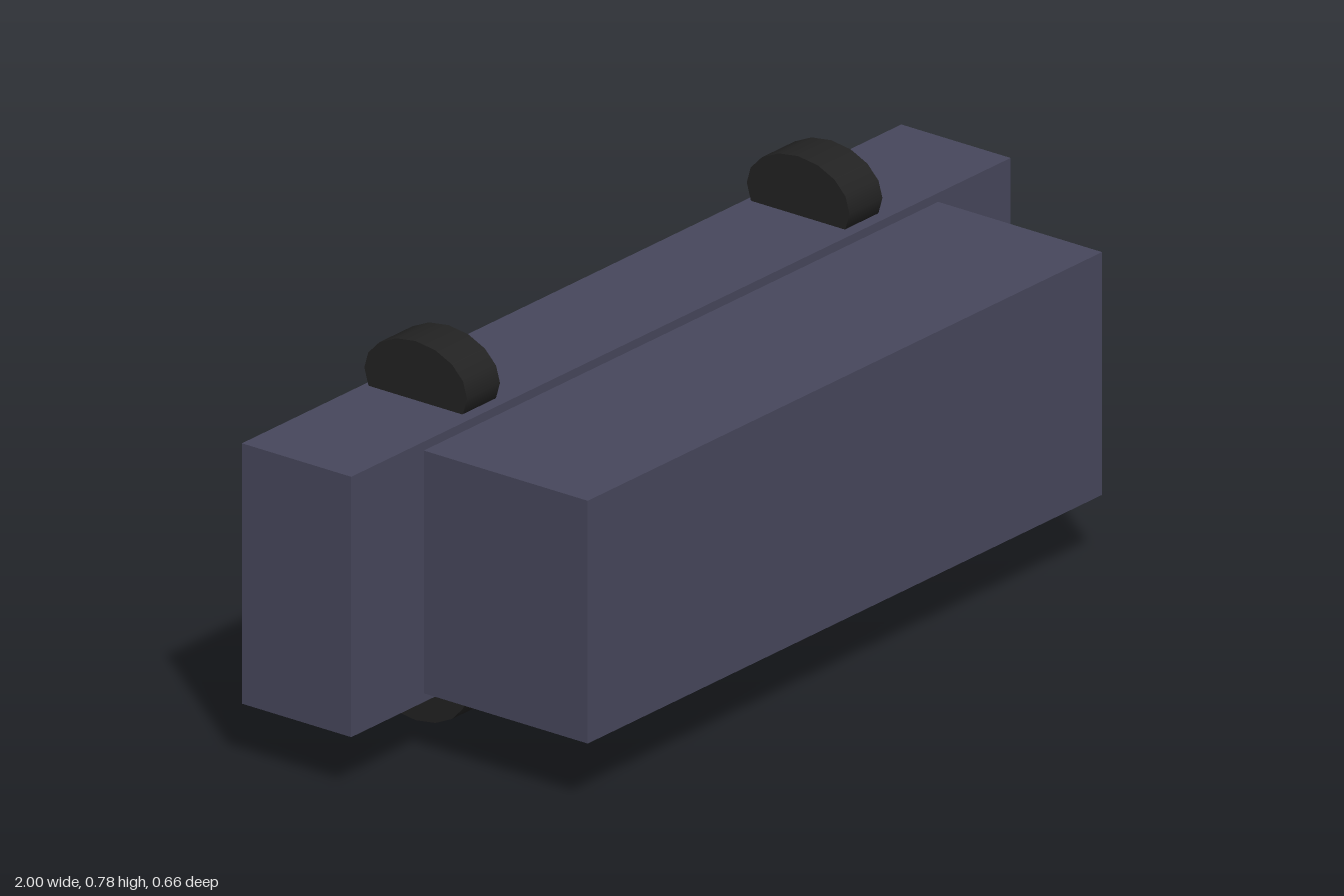
import * as THREE from 'three';

export function createModel() {
  const model = new THREE.Group();
  model.name = 'model';

  const slate = new THREE.MeshStandardMaterial({ color: 0x47475c });
  slate.name = 'slate body';
  const black = new THREE.MeshStandardMaterial({ color: 0x222222 });
  black.name = 'black rubber';

  // Box centred on x, given by its width and its y and z limits
  function addBox(name, width, y0, y1, z0, z1) {
    const mesh = new THREE.Mesh(new THREE.BoxGeometry(width, y1 - y0, z1 - z0), slate);
    mesh.position.set(0, (y0 + y1) / 2, (z0 + z1) / 2);
    mesh.name = name;
    model.add(mesh);
  }
  addBox('rearBody', 2, 0.122, 0.655, -0.33, -0.066);
  addBox('frontBody', 1.56, 0.14, 0.637, -0.066, 0.33);

  // Oval wheels, half sunk into the top and bottom of the rear body
  const wheelGeometry = new THREE.CylinderGeometry(1, 1, 0.1, 16);
  wheelGeometry.rotateZ(Math.PI / 2);
  wheelGeometry.scale(1, 0.086, 0.124);
  for (const [side, x] of [['left', 0.58], ['right', -0.58]]) {
    for (const [level, y] of [['Upper', 0.69], ['Lower', 0.086]]) {
      const wheel = new THREE.Mesh(wheelGeometry, black);
      wheel.position.set(x, y, -0.205);
      wheel.name = side + level + 'Wheel';
      model.add(wheel);
    }
  }
  return model;
}
